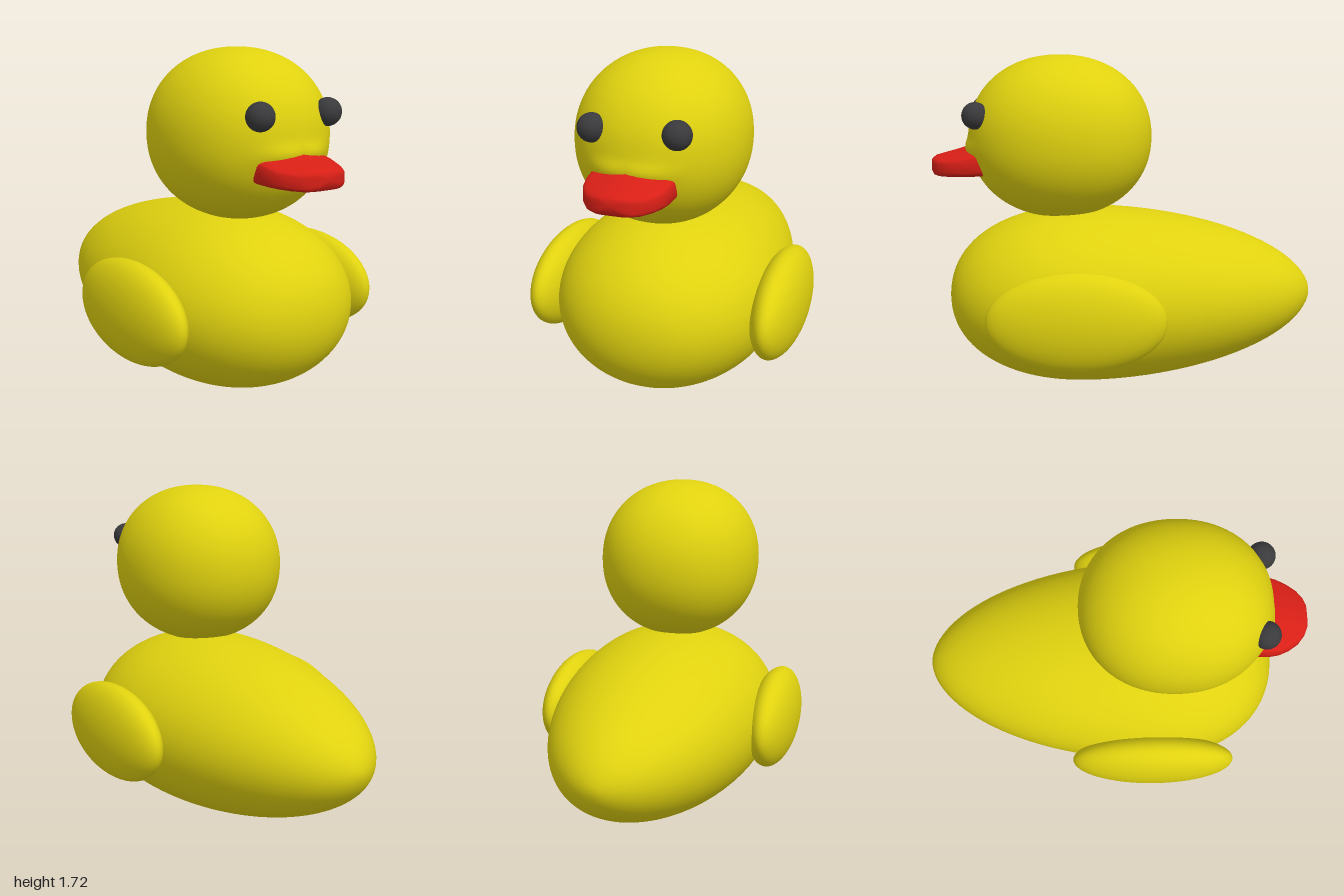
import * as THREE from 'three';
import { mergeVertices, toCreasedNormals } from 'three/addons/utils/BufferGeometryUtils.js';

const paint = (color) => new THREE.MeshStandardMaterial({ color });
const yellow = paint(0xe0d20f);
const red = paint(0xd81f16);
const black = paint(0x3a3a3c);

// A smooth seamless ball whose vertices are moved by a rule.
function shapedBall(rule, segments = 64) {
  let g = new THREE.SphereGeometry(1, segments, segments / 2);
  g.deleteAttribute('uv');
  g.deleteAttribute('normal');
  g = mergeVertices(g.rotateZ(-Math.PI / 2), 1e-5);
  const p = g.attributes.position;
  const v = new THREE.Vector3();
  for (let i = 0; i < p.count; i++) {
    rule(v.fromBufferAttribute(p, i));
    p.setXYZ(i, v.x, v.y, v.z);
  }
  g.computeVertexNormals();
  return g;
}

// Egg-shaped body: long tapering tail, short full chest.
function bodyGeometry() {
  return shapedBall((v) => {
    const e = v.x < 0 ? 1.85 : 2.2;
    const around = Math.hypot(v.y, v.z) || 1;
    const r = Math.pow(Math.max(0, 1 - Math.pow(Math.abs(v.x), e)), 1 / e) / around;
    v.set(0.2 + v.x * (v.x < 0 ? 1.2 : 0.72), 0.465 + v.y * r * 0.46, v.z * r * 0.57);
  }, 96);
}

// Slightly boxy head with a soft lip swelling above the bill.
function headGeometry() {
  return shapedBall((v) => {
    const e = 2.12;
    const k = Math.pow(Math.abs(v.x) ** e + Math.abs(v.y) ** e + Math.abs(v.z) ** e, -1 / e);
    v.multiplyScalar(k);
    const front = v.x > 0;
    v.set(0.33 + v.x * 0.475, 1.3 + v.y * 0.42, 0.012 + v.z * 0.42);
    if (front) {
      const dy = (v.y - 1.245) / 0.05;
      const dz = (v.z - 0.015) / 0.19;
      v.x += 0.022 * Math.exp(-dy * dy - dz ** 4);
    }
  }, 96);
}

// Bill lofted along x; each station is x, half width, bottom, side top, ridge top.
function billGeometry() {
  const stations = [
    [0.64, 0.207, 1.108, 1.245, 1.275],
    [0.72, 0.207, 1.107, 1.243, 1.272],
    [0.80, 0.205, 1.105, 1.225, 1.258],
    [0.85, 0.195, 1.104, 1.210, 1.240],
    [0.90, 0.173, 1.103, 1.200, 1.226],
    [0.95, 0.137, 1.103, 1.193, 1.212],
    [0.98, 0.098, 1.108, 1.188, 1.203],
    [0.995, 0.060, 1.125, 1.182, 1.190],
  ];
  const n = 48;
  const pos = [];
  const index = [];
  const power = (c) => Math.sign(c) * Math.pow(Math.abs(c), 0.42);
  for (const [x, w, bottom, side, top] of stations) {
    for (let j = 0; j < n; j++) {
      const a = (j / n) * Math.PI * 2;
      const z = power(Math.cos(a)) * w;
      const s = power(Math.sin(a));
      let y = (bottom + side) / 2 + (s * (side - bottom)) / 2;
      if (s > 0) y += (top - side) * s * Math.exp(-((z / 0.1) ** 2));
      pos.push(x, y, z + 0.015);
    }
  }
  for (let i = 0; i < stations.length - 1; i++) {
    for (let j = 0; j < n; j++) {
      const a = i * n + j;
      const b = i * n + ((j + 1) % n);
      index.push(a, b, a + n, b, b + n, a + n);
    }
  }
  // Rounded tip and closed root
  const tip = pos.length / 3;
  pos.push(1.0, 1.157, 0.015, 0.64, 1.18, 0.015);
  const last = (stations.length - 1) * n;
  for (let j = 0; j < n; j++) {
    const k = (j + 1) % n;
    index.push(last + j, last + k, tip, k, j, tip + 1);
  }
  // Rings run from +z towards +y, so flip the winding to face outward
  for (let i = 0; i < index.length; i += 3) {
    [index[i + 1], index[i + 2]] = [index[i + 2], index[i + 1]];
  }
  const g = new THREE.BufferGeometry();
  g.setAttribute('position', new THREE.Float32BufferAttribute(pos, 3));
  g.setIndex(index);
  return toCreasedNormals(g, 0.75);
}

export function createModel() {
  const model = new THREE.Group();
  model.name = 'toyDuck';
  const add = (name, geometry, material) => {
    const mesh = new THREE.Mesh(geometry, material);
    mesh.name = name;
    model.add(mesh);
    return mesh;
  };

  add('body', bodyGeometry(), yellow);
  add('head', headGeometry(), yellow);
  add('bill', billGeometry(), red);

  // Wings and eyes, mirrored across z
  for (const side of [1, -1]) {
    const label = side > 0 ? 'Front' : 'Back';
    const wing = add('wing' + label, new THREE.SphereGeometry(1, 64, 40), yellow);
    wing.scale.set(0.438, 0.25, 0.125);
    wing.position.set(0.245, 0.467, side * 0.58);

    const eye = add('eye' + label, new THREE.SphereGeometry(0.068, 32, 24), black);
    eye.position.set(0.745, 1.425, side * 0.204 + 0.003);
  }
  return model;
}
